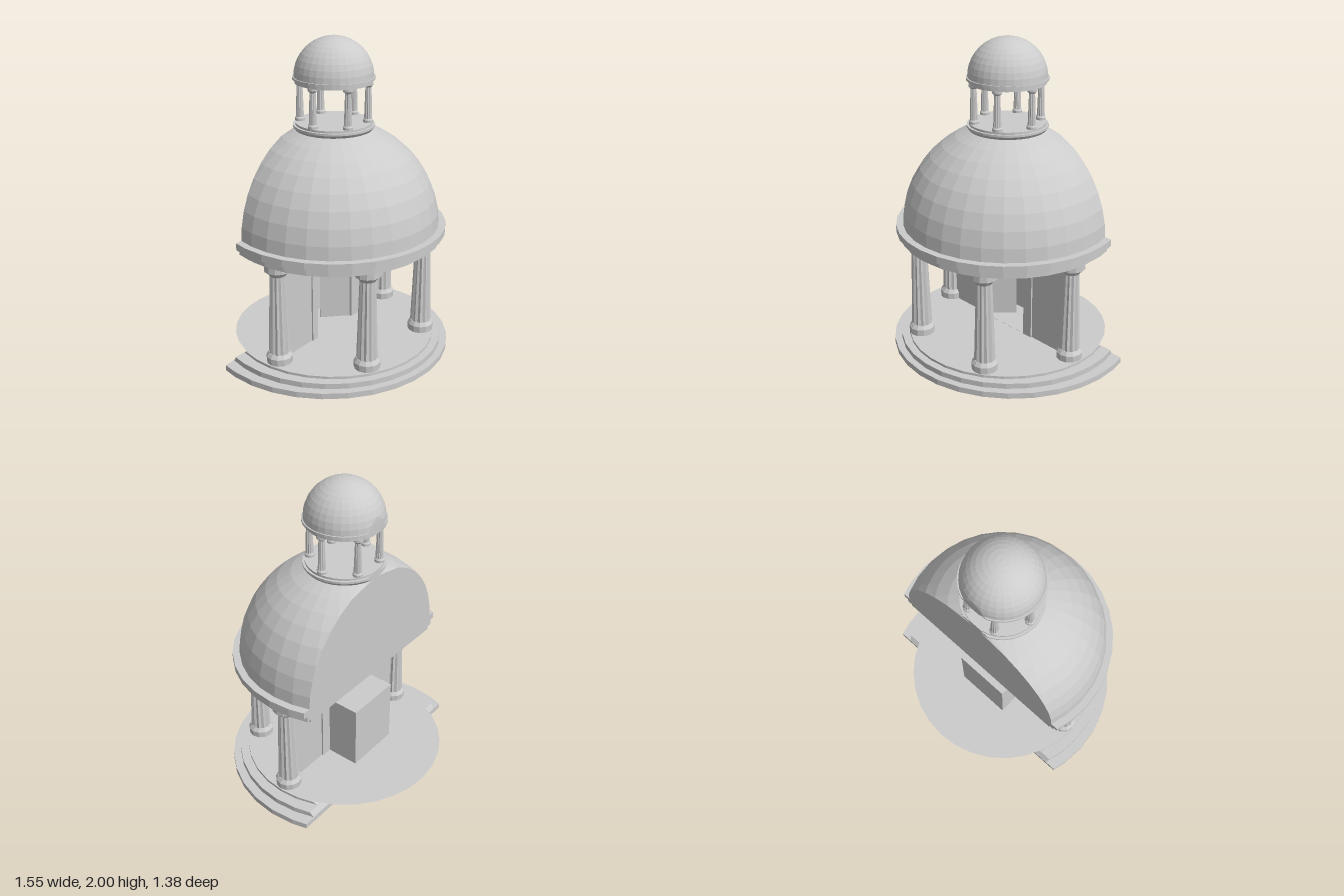
import * as THREE from 'three';

const grey = new THREE.MeshStandardMaterial({ color: 0xcccccc, flatShading: true, side: THREE.DoubleSide });
const CUT = -0.277; // plane that trims the back of the building
const AXIS = -0.045; // z of the dome and column rings

function add(parent, name, geometry, x = 0, y = 0, z = 0) {
  const mesh = new THREE.Mesh(geometry, grey);
  mesh.name = name;
  mesh.position.set(x, y, z);
  parent.add(mesh);
  return mesh;
}

// Solid of revolution from rings [radius, y, centreZ, cutZ], flattened at the cut plane
function trimmedLathe(rings, sides) {
  const position = [], index = [], row = sides + 1;
  for (const [r, y, cz = AXIS, cut = CUT] of rings) {
    const limit = r > cz - cut ? Math.acos((cut - cz) / r) : Math.PI;
    for (let j = 0; j <= sides; j++) {
      const a = THREE.MathUtils.clamp((j / sides * 2 - 1) * Math.PI, -limit, limit);
      position.push(r * Math.sin(a), y, cz + r * Math.cos(a));
    }
  }
  for (let i = 0; i < rings.length - 1; i++) {
    for (let j = 0; j <= sides; j++) {
      const k = (j + 1) % row;
      const a = i * row + j, b = i * row + k;
      index.push(a, b, b + row, a, b + row, a + row);
    }
  }
  const g = new THREE.BufferGeometry();
  g.setAttribute('position', new THREE.Float32BufferAttribute(position, 3));
  g.setIndex(index);
  const flat = g.toNonIndexed();
  flat.computeVertexNormals();
  return flat;
}

// Rings of a spherical cap between two angles measured from the horizon
function capRings(radius, centreY, endAngle, steps) {
  return Array.from({ length: steps + 1 }, (_, i) => {
    const a = endAngle * i / steps;
    return [radius * Math.cos(a), centreY + radius * Math.sin(a)];
  });
}

// Column with moulded base, fluted tapering shaft and flared capital, 0.65 high
function makeColumn(name) {
  const column = new THREE.Group();
  column.name = name;
  const lathe = (points) => new THREE.LatheGeometry(points.map(([r, y]) => new THREE.Vector2(r, y)), 12);
  add(column, 'columnBase', lathe([[0, 0], [0.08, 0], [0.082, 0.042], [0.066, 0.065], [0, 0.065]]));
  add(column, 'columnCapital', lathe([[0, 0.575], [0.05, 0.575], [0.06, 0.59], [0.082, 0.608], [0.082, 0.65], [0, 0.65]]));
  const shaft = new THREE.CylinderGeometry(0.049, 0.066, 0.53, 24, 1, true);
  const p = shaft.attributes.position;
  for (let i = 0; i < p.count; i++) {
    const groove = (i % 25) % 2 ? 0.88 : 1;
    p.setX(i, p.getX(i) * groove);
    p.setZ(i, p.getZ(i) * groove);
  }
  add(column, 'columnShaft', shaft, 0, 0.32, 0);
  return column;
}

function rectPath(Type, x0, x1, y0, y1) {
  return new Type([[x0, y0], [x1, y0], [x1, y1], [x0, y1]].map(([x, y]) => new THREE.Vector2(x, y)));
}

// Upright slab with a rectangular opening
function openSlab(x0, x1, top, hole, depth) {
  const shape = rectPath(THREE.Shape, x0, x1, 0.09, top);
  shape.holes.push(rectPath(THREE.Path, ...hole));
  return new THREE.ExtrudeGeometry(shape, { depth, bevelEnabled: false });
}

export function createModel() {
  const model = new THREE.Group();
  model.name = 'domedPavilion';

  // Stepped platform, its back end sloping in towards the floor
  add(model, 'steppedPlatform', trimmedLathe([
    [0, 0, -0.09, -0.335], [0.775, 0, -0.09, -0.335], [0.775, 0.036, -0.09, -0.335],
    [0.712, 0.036, -0.07, -0.332], [0.712, 0.07, -0.07, -0.31],
    [0.645, 0.07, -0.05, -0.305], [0.645, 0.086, -0.05, -0.28], [0, 0.086, -0.05, -0.28],
  ], 32));

  // Round floor sheet reaching out behind the platform
  const floor = add(model, 'roundFloor', new THREE.CircleGeometry(0.642, 32), 0, 0.09, -0.05);
  floor.rotation.x = -Math.PI / 2;

  // Main columns: the front four of a ring of six
  for (const degrees of [-90, -33, 33, 90]) {
    const a = THREE.MathUtils.degToRad(degrees);
    const column = makeColumn('mainColumn');
    column.position.set(0.562 * Math.sin(a), 0.09, AXIS + 0.562 * Math.cos(a));
    model.add(column);
  }

  // Cross wall with a framed doorway
  const opening = [-0.2, 0.17, 0.091, 0.52];
  add(model, 'crossWall', openSlab(-0.55, 0.55, 0.75, opening, 0.016), 0, 0, AXIS - 0.008);
  add(model, 'doorFrame', openSlab(-0.25, 0.24, 0.59, opening, 0.036), 0, 0, AXIS - 0.018);

  // Closed niche behind the doorway
  const depth = AXIS - CUT, midZ = (AXIS + CUT) / 2, t = 0.008;
  for (const x of [-0.2 + t / 2, 0.17 - t / 2]) {
    add(model, 'nicheSide', new THREE.BoxGeometry(t, 0.43, depth), x, 0.305, midZ);
  }
  add(model, 'nicheTop', new THREE.BoxGeometry(0.37, t, depth), -0.015, 0.52 - t / 2, midZ);
  add(model, 'nicheBack', new THREE.BoxGeometry(0.37, 0.43, t), -0.015, 0.305, CUT + t / 2);

  // Two door leaves standing half open inwards
  for (const side of [-1, 1]) {
    const hinge = new THREE.Group();
    hinge.name = 'doorLeaf';
    hinge.position.set(-0.015 + side * 0.18, 0.3, AXIS);
    hinge.rotation.y = -side * Math.PI / 4;
    add(hinge, 'doorPanel', new THREE.BoxGeometry(0.195, 0.41, 0.01), -side * 0.0975, 0, 0);
    // Swing the free edge towards the back
    hinge.rotation.y = side * -Math.PI / 4;
    model.add(hinge);
  }

  // Entablature ring and main dome, cut flat at the back
  add(model, 'entablature', trimmedLathe([
    [0, 0.738], [0.645, 0.738], [0.645, 0.76], [0.675, 0.76], [0.675, 0.798],
    [0.7, 0.798], [0.7, 0.842], [0, 0.842],
  ], 32));
  add(model, 'mainDome', trimmedLathe([
    [0, 0.825], ...capRings(0.657, 0.825, 1.21, 8), [0, 1.44],
  ], 32));

  // Lantern floor, columns and small dome
  add(model, 'lanternFloor', trimmedLathe([
    [0, 1.435], [0.235, 1.435], [0.25, 1.455], [0.25, 1.468], [0.235, 1.468], [0.235, 1.481], [0, 1.481],
  ], 32));
  for (let i = 0; i < 6; i++) {
    const a = i * Math.PI / 3 + Math.PI / 2;
    const column = makeColumn('lanternColumn');
    column.scale.setScalar(0.377);
    column.position.set(0.208 * Math.sin(a), 1.48, AXIS + 0.208 * Math.cos(a));
    model.add(column);
  }
  add(model, 'lanternCornice', trimmedLathe([
    [0, 1.724], [0.235, 1.724], [0.235, 1.745], [0.25, 1.745], [0.25, 1.76], [0, 1.76],
  ], 32));
  add(model, 'lanternDome', trimmedLathe([
    [0, 1.758], ...capRings(0.242, 1.758, Math.PI / 2, 10),
  ], 32));

  return model;
}
